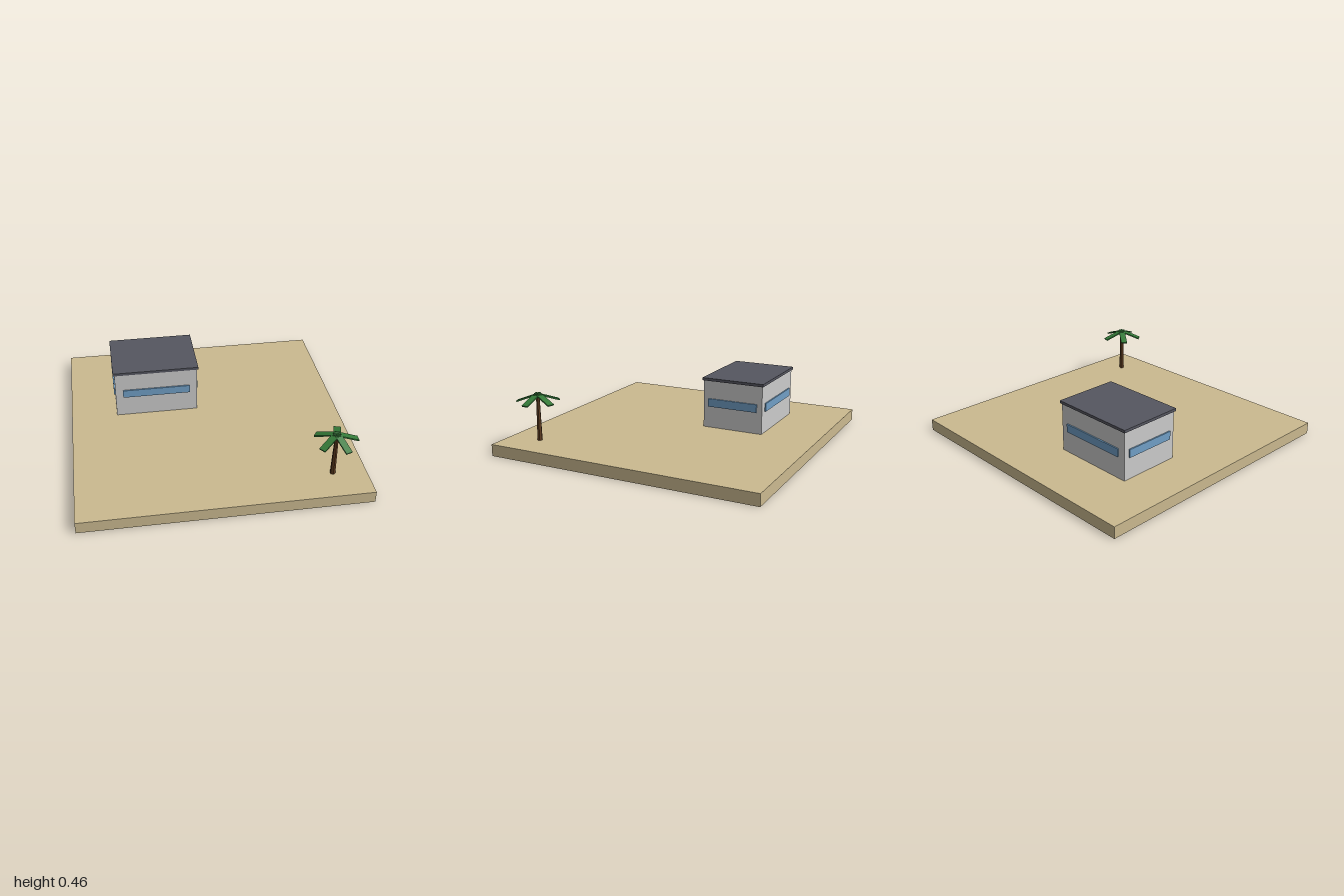
import * as THREE from 'three';

const mat = (color) => new THREE.MeshStandardMaterial({ color, flatShading: true });
const sand = mat(0xcbba90), wall = mat(0xd0d0cc), slate = mat(0x555660);
const glass = mat(0x709fc6), bark = mat(0x5c3a1e), leaf = mat(0x347a38);

function box(parent, name, size, pos, material) {
  const mesh = new THREE.Mesh(new THREE.BoxGeometry(...size), material);
  mesh.name = name;
  mesh.position.set(...pos);
  parent.add(mesh);
  return mesh;
}

// Flat-roofed house with a window band on every side; origin at its floor centre
function house() {
  const g = new THREE.Group();
  g.name = 'house';
  const w = 0.61, h = 0.355, d = 0.46;
  box(g, 'walls', [w, h, d], [0, h / 2, 0], wall);
  box(g, 'roof', [0.632, 0.02, 0.478], [0, h + 0.01, 0], slate);
  for (const s of [-1, 1]) {
    box(g, s > 0 ? 'frontWindow' : 'backWindow', [0.5, 0.06, 0.02], [0, 0.19, s * d / 2], glass);
    box(g, s > 0 ? 'leftWindow' : 'rightWindow', [0.02, 0.06, 0.38], [s * w / 2, 0.19, 0], glass);
  }
  return g;
}

// Palm tree; origin at the foot of the trunk
function palm() {
  const g = new THREE.Group();
  g.name = 'palmTree';
  const trunk = new THREE.Mesh(new THREE.CylinderGeometry(0.013, 0.019, 0.325, 6), bark);
  trunk.name = 'trunk';
  trunk.position.y = 0.1625;
  g.add(trunk);
  // Five drooping fronds
  for (let i = 0; i < 5; i++) {
    const frond = new THREE.Group();
    frond.name = 'frond';
    frond.rotation.y = i * Math.PI * 2 / 5;
    box(frond, 'frondBlade', [0.171, 0.01, 0.048], [0.07, 0.31, 0], leaf).rotation.z = -0.35;
    g.add(frond);
  }
  return g;
}

export function createModel() {
  const model = new THREE.Group();
  model.name = 'beachPlot';
  const ground = 0.085;
  box(model, 'ground', [2, ground, 2], [0, ground / 2, 0], sand);

  const home = house();
  home.position.set(-0.357, ground, -0.36);
  const tree = palm();
  tree.position.set(0.763, ground, 0.763);
  model.add(home, tree);
  return model;
}
